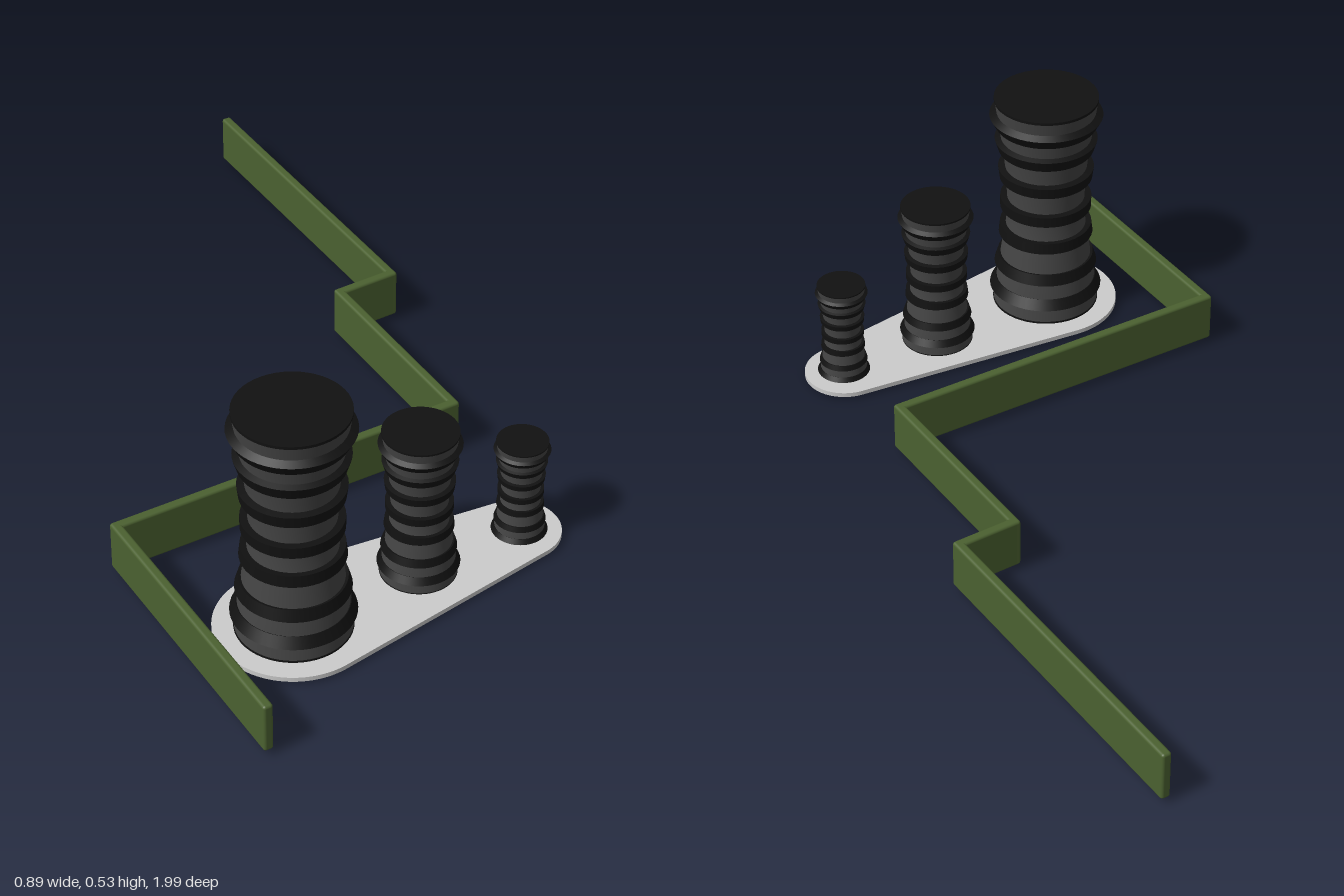
import * as THREE from 'three';
import { RoundedBoxGeometry } from 'three/addons/geometries/RoundedBoxGeometry.js';

const wallGreen = new THREE.MeshStandardMaterial({ name: 'mossGreen', color: 0x4b6130 });
const bodyGrey = new THREE.MeshStandardMaterial({ name: 'charcoalGrey', color: 0x444444 });
const ringBlack = new THREE.MeshStandardMaterial({ name: 'black', color: 0x111111 });
const plateGrey = new THREE.MeshStandardMaterial({ name: 'lightGrey', color: 0xcccccc });

function part(name, geometry, material) {
  const mesh = new THREE.Mesh(geometry, material);
  mesh.name = name;
  return mesh;
}

// Zigzag wall: one softly rounded slab per segment, as [x, z] corners
function createWall() {
  const wall = new THREE.Group();
  wall.name = 'zigzagWall';
  const path = [[-0.24, -0.985], [0.12, -0.37], [0.01, -0.302], [0.235, 0.09], [-0.433, 0.475], [-0.14, 0.985]];
  const thickness = 0.021, height = 0.109;
  for (let i = 0; i < path.length - 1; i++) {
    const [x0, z0] = path[i], [x1, z1] = path[i + 1];
    const length = Math.hypot(x1 - x0, z1 - z0) + thickness;
    const slab = part('wallSegment', new RoundedBoxGeometry(length, height, thickness, 3, 0.006), wallGreen);
    slab.position.set((x0 + x1) / 2, 0.012 + height / 2, (z0 + z1) / 2);
    slab.rotation.y = -Math.atan2(z1 - z0, x1 - x0);
    wall.add(slab);
  }
  return wall;
}

// Tapered base plate: two arcs joined by their outer tangents
function createPlate() {
  const [ax, ay, ra] = [-0.09, -0.645, 0.158];
  const [bx, by, rb] = [0.353, -0.37, 0.089];
  const phi = Math.atan2(by - ay, bx - ax);
  const alpha = Math.acos((ra - rb) / Math.hypot(bx - ax, by - ay));
  const shape = new THREE.Shape();
  shape.absarc(ax, ay, ra, phi + alpha, phi - alpha + Math.PI * 2, false);
  shape.absarc(bx, by, rb, phi - alpha, phi + alpha, false);
  const geometry = new THREE.ExtrudeGeometry(shape, { depth: 0.01, bevelEnabled: false, curveSegments: 40 });
  geometry.rotateX(-Math.PI / 2);
  const plate = part('basePlate', geometry, plateGrey);
  plate.position.y = 0.006;
  return plate;
}

// Band with a rectangular section tilted to follow the waist of the tower
function ringGeometry(radius, y, tilt, height) {
  const c = Math.cos(tilt), s = Math.sin(tilt), h = height / 2, depth = 0.025;
  const corners = [[-depth, -h], [0, -h], [0, h], [-depth, h], [-depth, -h]];
  const points = corners.map(([u, v]) => new THREE.Vector2(radius + u * c + v * s, y - u * s + v * c));
  // separate strips keep the band's edges crisp
  return points.slice(1).map((p, i) => new THREE.LatheGeometry([points[i], p], 48));
}

// Waisted tower with seven bands and black end caps
function createTower(name, x, y, z, scale) {
  const tower = new THREE.Group();
  tower.name = name;
  const H = 0.515;
  const waist = new THREE.SplineCurve([
    [0.116, 0], [0.109, 0.06], [0.097, 0.14], [0.087, 0.21], [0.085, 0.26],
    [0.089, 0.34], [0.099, 0.42], [0.113, H],
  ].map(([r, h]) => new THREE.Vector2(r, h)));
  tower.add(part('towerBody', new THREE.LatheGeometry(waist.getPoints(28), 48), bodyGrey));

  // radius, height, tilt, band height
  const rings = [
    [0.117, 0.463, 0.5, 0.026], [0.108, 0.403, 0.3, 0.026], [0.103, 0.332, 0.12, 0.025],
    [0.1, 0.257, 0, 0.024], [0.102, 0.19, -0.12, 0.025], [0.109, 0.112, -0.3, 0.026],
    [0.117, 0.052, -0.5, 0.026],
  ];
  for (const [r, h, tilt, size] of rings) {
    const ring = new THREE.Group();
    ring.name = 'towerRing';
    ringGeometry(r, h, tilt, size).forEach((g) => ring.add(part('ringFace', g, ringBlack)));
    tower.add(ring);
  }

  // End caps
  for (const [label, h, r] of [['topCap', H - 0.001, 0.1135], ['bottomCap', 0.004, 0.1165]]) {
    const cap = part(label, new THREE.CylinderGeometry(r, r, 0.006, 48), ringBlack);
    cap.position.y = h;
    tower.add(cap);
  }
  const inset = part('undersideInset', new THREE.RingGeometry(0.022, 0.062, 32), bodyGrey);
  inset.rotation.x = Math.PI / 2;
  inset.position.y = -0.001;
  tower.add(inset);

  tower.scale.setScalar(scale);
  tower.position.set(x, y, z);
  return tower;
}

export function createModel() {
  const model = new THREE.Group();
  model.name = 'towersAndWall';
  model.add(createWall(), createPlate());
  model.add(
    createTower('largeTower', -0.09, 0.013, 0.645, 1),
    createTower('mediumTower', 0.153, 0.013, 0.49, 0.664),
    createTower('smallTower', 0.357, 0.001, 0.37, 0.458),
  );
  return model;
}
